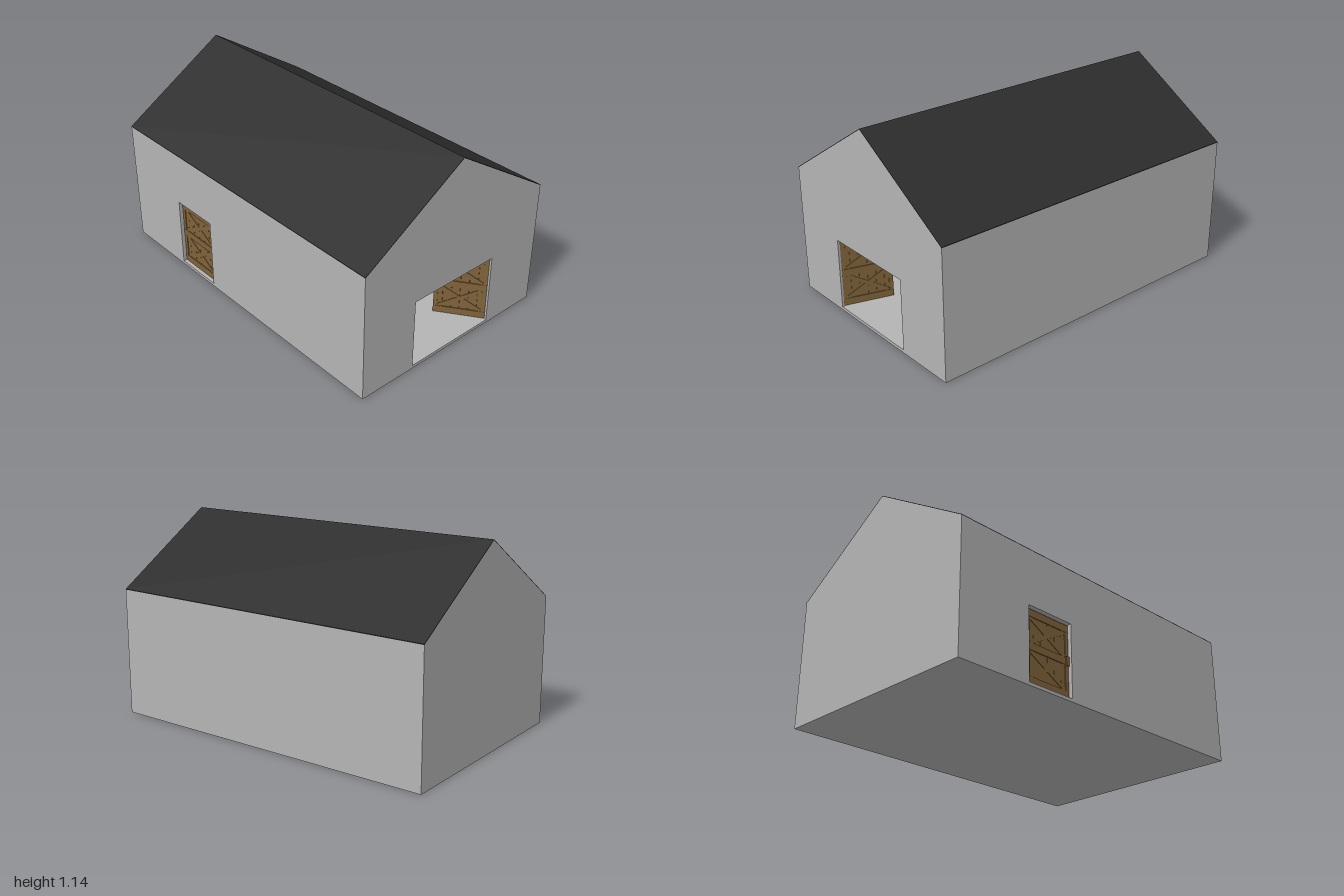
import * as THREE from 'three';

const W = 0.635, EAVE = 0.74, RIDGE = 1.14, L = 1; // half width, heights, half length
const T = 0.03, SKIN = 0.004;                      // wall thickness, roof sheet thickness
const SILL = 0.018, HEAD = 0.425;                  // door opening bottom and top

const material = (name, color) => Object.assign(new THREE.MeshStandardMaterial({ color }), { name });

function shapeOf(points) {
  return new THREE.Shape(points.map(([x, y]) => new THREE.Vector2(x, y)));
}

function rectHole(x0, x1) {
  const p = [[x0, SILL], [x0, HEAD], [x1, HEAD], [x1, SILL]];
  return new THREE.Path(p.map(([x, y]) => new THREE.Vector2(x, y)));
}

const extrude = (shape, depth) => new THREE.ExtrudeGeometry(shape, { depth, bevelEnabled: false });

export function createModel() {
  const grey = material('wall grey', 0xb4b4b4);
  const dark = material('roof charcoal', 0x2d2d2d);
  const wood = material('door wood', 0x80633a);
  const model = new THREE.Group();
  model.name = 'barn';

  const add = (parent, name, geometry, mat, x = 0, y = 0, z = 0) => {
    const mesh = new THREE.Mesh(geometry, mat);
    mesh.name = name;
    mesh.position.set(x, y, z);
    parent.add(mesh);
    return mesh;
  };

  // Gable walls, the front one with a wide doorway
  const gable = () => shapeOf([[-W, 0], [W, 0], [W, EAVE - SKIN], [0, RIDGE - SKIN], [-W, EAVE - SKIN]]);
  const front = gable();
  front.holes.push(rectHole(-0.285, 0.285));
  add(model, 'frontWall', extrude(front, T), grey, 0, 0, L - T);
  add(model, 'backWall', extrude(gable(), T), grey, 0, 0, -L);

  // Long walls, the one at -x with a single doorway
  for (const side of [-1, 1]) {
    const e = L - T, h = EAVE - SKIN;
    const wall = shapeOf([[-e, 0], [e, 0], [e, h], [-e, h]]);
    if (side < 0) wall.holes.push(rectHole(-0.55, -0.25));
    add(model, side < 0 ? 'rightWall' : 'leftWall', extrude(wall, T).rotateY(-Math.PI / 2), grey, side < 0 ? -W + T : W);
  }

  // Floor slab
  add(model, 'floor', new THREE.BoxGeometry(2 * (W - T), SILL, 2 * (L - T)), grey, 0, SILL / 2, 0);

  // Roof sheet over a grey ceiling, both folded at the ridge
  const chevron = (w, eave, ridge, t) =>
    shapeOf([[-w, eave - t], [0, ridge - t], [w, eave - t], [w, eave], [0, ridge], [-w, eave]]);
  add(model, 'roof', extrude(chevron(W, EAVE, RIDGE, SKIN), 2 * L), dark, 0, 0, -L);
  const innerEave = EAVE + (RIDGE - EAVE) * T / W;
  add(model, 'ceiling', extrude(chevron(W - T, innerEave - SKIN, RIDGE - SKIN, 0.02), 2 * (L - T)), grey, 0, 0, -L + T);

  // Plank door leaf: hinge at the local origin, free edge towards dir, outer face at z = 0
  function doorLeaf(name, w, dir) {
    const door = new THREE.Group();
    door.name = name;
    const h = 0.398, depth = 0.02, rail = 0.04, stile = 0.022;
    const bar = (part, x, y, bw, bh, bd) =>
      add(door, part, new THREE.BoxGeometry(bw, bh, bd), wood, dir * x, y, -depth / 2);

    // Boards
    const count = 6, board = (w - 0.004) / count;
    for (let i = 0; i < count; i++) bar('board', 0.002 + (i + 0.5) * board, h / 2, board - 0.001, h - 0.004, 0.01);

    // Frame
    for (const x of [stile / 2, w - stile / 2]) bar('stile', x, h / 2, stile, h - 2 * rail, depth - 0.002);
    for (const y of [rail / 2, h - rail / 2]) bar('rail', w / 2, y, w, rail, depth);
    bar('middleRail', w / 2, h / 2, w, rail, depth);
    bar('latch', w - 0.008, h / 2, 0.022, 0.05, depth + 0.012);

    // Crossed braces in the upper and lower panel
    const pw = w - 2 * stile, ph = (h - 3 * rail) / 2;
    for (const y of [rail + ph / 2, h - rail - ph / 2]) {
      for (const s of [-1, 1]) {
        const brace = bar('brace', w / 2, y, Math.hypot(pw, ph) - 0.01, 0.022, s < 0 ? 0.0155 : 0.0165);
        brace.rotation.z = s * Math.atan2(ph, pw);
      }
    }
    model.add(door);
    return door;
  }

  // Two front leaves swung inwards, and the closed side door
  const doors = [
    ['frontDoorRight', 0.284, 1, -0.284, L - 0.012, 73],
    ['frontDoorLeft', 0.284, -1, 0.284, L - 0.012, -55],
    ['sideDoor', 0.296, 1, -W + 0.02, -0.548, -90],
  ];
  for (const [name, w, dir, x, z, angle] of doors) {
    const door = doorLeaf(name, w, dir);
    door.position.set(x, SILL + 0.003, z);
    door.rotation.y = THREE.MathUtils.degToRad(angle);
  }

  return model;
}
